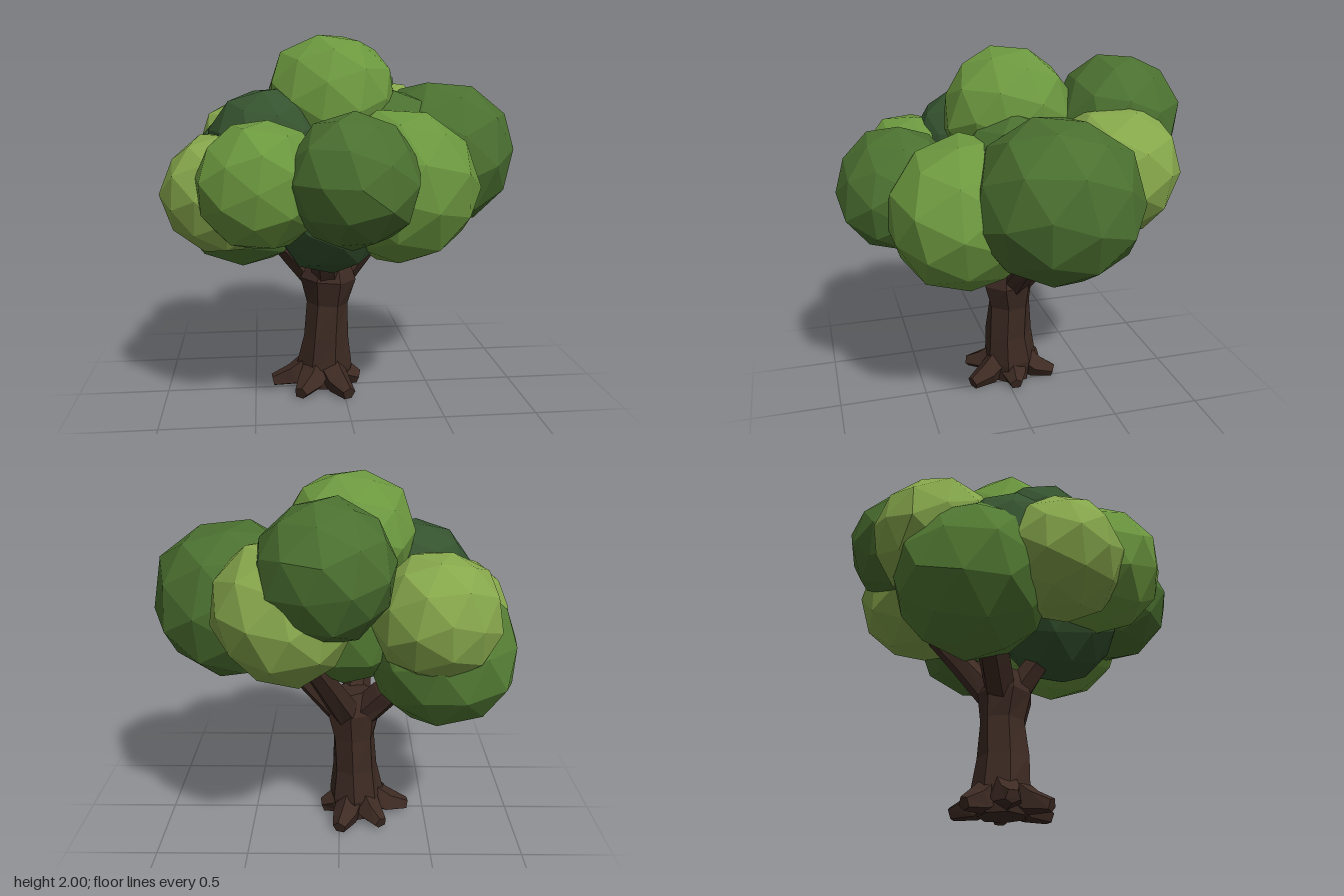
import * as THREE from 'three';

const UP = new THREE.Vector3(0, 1, 0);
const material = (color) => new THREE.MeshStandardMaterial({ color, flatShading: true });

// Faceted, capped limb: a ring of vertices around each [x, y, z, radius] station
function limbGeometry(stations, sides, twist = 0) {
  const pts = stations.map(([x, y, z]) => new THREE.Vector3(x, y, z));
  const pos = [], index = [];
  pts.forEach((p, i) => {
    const dir = pts[Math.min(i + 1, pts.length - 1)].clone().sub(pts[Math.max(i - 1, 0)]).normalize();
    const q = new THREE.Quaternion().setFromUnitVectors(UP, dir);
    for (let j = 0; j < sides; j++) {
      const a = (j / sides) * Math.PI * 2 + twist;
      const r = stations[i][3] * (1 + 0.06 * Math.sin(j * 2.3 + i * 1.7));
      const v = new THREE.Vector3(Math.cos(a) * r, 0, Math.sin(a) * r).applyQuaternion(q).add(p);
      pos.push(v.x, Math.max(v.y, 0), v.z);
    }
  });
  const last = (pts.length - 1) * sides, c0 = pos.length / 3;
  pos.push(...pts[0].toArray(), ...pts[pts.length - 1].toArray());
  for (let j = 0; j < sides; j++) {
    const k = (j + 1) % sides;
    for (let o = 0; o < last; o += sides) {
      index.push(o + j, o + sides + j, o + k, o + k, o + sides + j, o + sides + k);
    }
    index.push(c0, j, k, c0 + 1, last + k, last + j);
  }
  const g = new THREE.BufferGeometry();
  g.setAttribute('position', new THREE.Float32BufferAttribute(pos, 3));
  g.setIndex(index);
  g.computeVertexNormals();
  return g;
}

// Slightly uneven low-poly ball
function leafGeometry(radius, seed) {
  const g = new THREE.IcosahedronGeometry(1, 1);
  const p = g.attributes.position, v = new THREE.Vector3();
  for (let i = 0; i < p.count; i++) {
    v.fromBufferAttribute(p, i);
    const bump = Math.sin(v.x * 3.1 + seed) * Math.sin(v.y * 2.7 + seed * 2) * Math.sin(v.z * 3.3 + seed * 3);
    v.multiplyScalar(radius * (1.015 + 0.06 * bump));
    p.setXYZ(i, v.x, v.y, v.z);
  }
  g.rotateX(seed * 1.3);
  g.rotateY(seed * 2.1);
  g.computeVertexNormals();
  return g;
}

export function createModel() {
  const tree = new THREE.Group();
  const bark = material(0x3d2a23);
  const add = (parent, name, geometry, mat) => {
    const m = new THREE.Mesh(geometry, mat);
    m.name = name;
    parent.add(m);
    return m;
  };

  // Trunk
  add(tree, 'trunk', limbGeometry([
    [-0.1, 0, -0.04, 0.13], [-0.1, 0.13, -0.04, 0.155], [-0.09, 0.3, -0.03, 0.135],
    [-0.08, 0.5, -0.035, 0.125], [-0.075, 0.65, -0.02, 0.155], [-0.07, 0.78, -0.02, 0.1],
  ], 7, 0.3), bark);

  // Roots spreading over the ground
  const roots = new THREE.Group();
  roots.name = 'roots';
  tree.add(roots);
  [[-0.4, -0.02], [-0.25, 0.19], [0.02, 0.22], [0.1, -0.03], [0, -0.29], [-0.24, -0.24]].forEach(([x, z]) => {
    const at = (t, y, r) => [-0.1 + (x + 0.1) * t, y, -0.04 + (z + 0.04) * t, r];
    add(roots, 'root', limbGeometry([at(0.2, 0.13, 0.085), at(0.6, 0.055, 0.075), at(1, 0.03, 0.04)], 5, 0.6), bark);
  });

  // Branches reaching into the crown
  const branches = new THREE.Group();
  branches.name = 'branches';
  tree.add(branches);
  [[0.36, 1.08, -0.12, 0.055], [0.2, 1.18, -0.47, 0.05], [-0.44, 0.97, -0.16, 0.065],
    [-0.14, 1.0, 0.27, 0.055]].forEach(([x, y, z, r]) => {
    const mid = [(x - 0.07) * 0.5, 0.6 + (y - 0.6) * 0.5, (z - 0.03) * 0.5, r * 1.35];
    add(branches, 'branch', limbGeometry([[-0.075, 0.58, -0.03, 0.09], mid, [x, y, z, r]], 6), bark);
  });

  // Crown: leaf clusters as [name, x, y, z, radius, shade]
  const shades = {
    dark: material(0x35532f), mid: material(0x4b7030), fresh: material(0x547d34),
    light: material(0x6c983f), yellow: material(0x87a84c),
  };
  const crown = new THREE.Group();
  crown.name = 'crown';
  tree.add(crown);
  [
    ['topLeaves', -0.05, 1.655, -0.015, 0.355, 'light'],
    ['frontLeaves', 0, 1.285, 0.595, 0.33, 'mid'],
    ['leftLeaves', 0.56, 1.34, -0.105, 0.425, 'mid'],
    ['frontLeftLeaves', 0.285, 1.215, 0.305, 0.405, 'light'],
    ['frontRightLeaves', -0.45, 1.25, 0.435, 0.33, 'light'],
    ['rightLeaves', -0.655, 1.18, 0.195, 0.315, 'yellow'],
    ['upperRightLeaves', -0.41, 1.41, 0.125, 0.315, 'dark'],
    ['innerRightLeaves', -0.57, 1.27, -0.065, 0.29, 'dark'],
    ['backRightLeaves', -0.49, 1.34, -0.425, 0.33, 'yellow'],
    ['lowerRightLeaves', -0.545, 1.085, -0.235, 0.4, 'fresh'],
    ['backLeaves', 0.065, 1.61, -0.59, 0.34, 'mid'],
    ['backLeftLeaves', 0.27, 1.385, -0.49, 0.365, 'yellow'],
    ['innerLeftLeaves', 0.26, 1.35, 0, 0.36, 'mid'],
    ['centreLeaves', -0.05, 1.27, -0.13, 0.385, 'fresh'],
    ['lowerFrontLeaves', -0.08, 1.09, 0.27, 0.325, 'dark'],
  ].forEach(([name, x, y, z, r, shade], i) => {
    add(crown, name, leafGeometry(r, i * 0.83 + 0.4), shades[shade]).position.set(x, y, z);
  });

  return tree;
}
